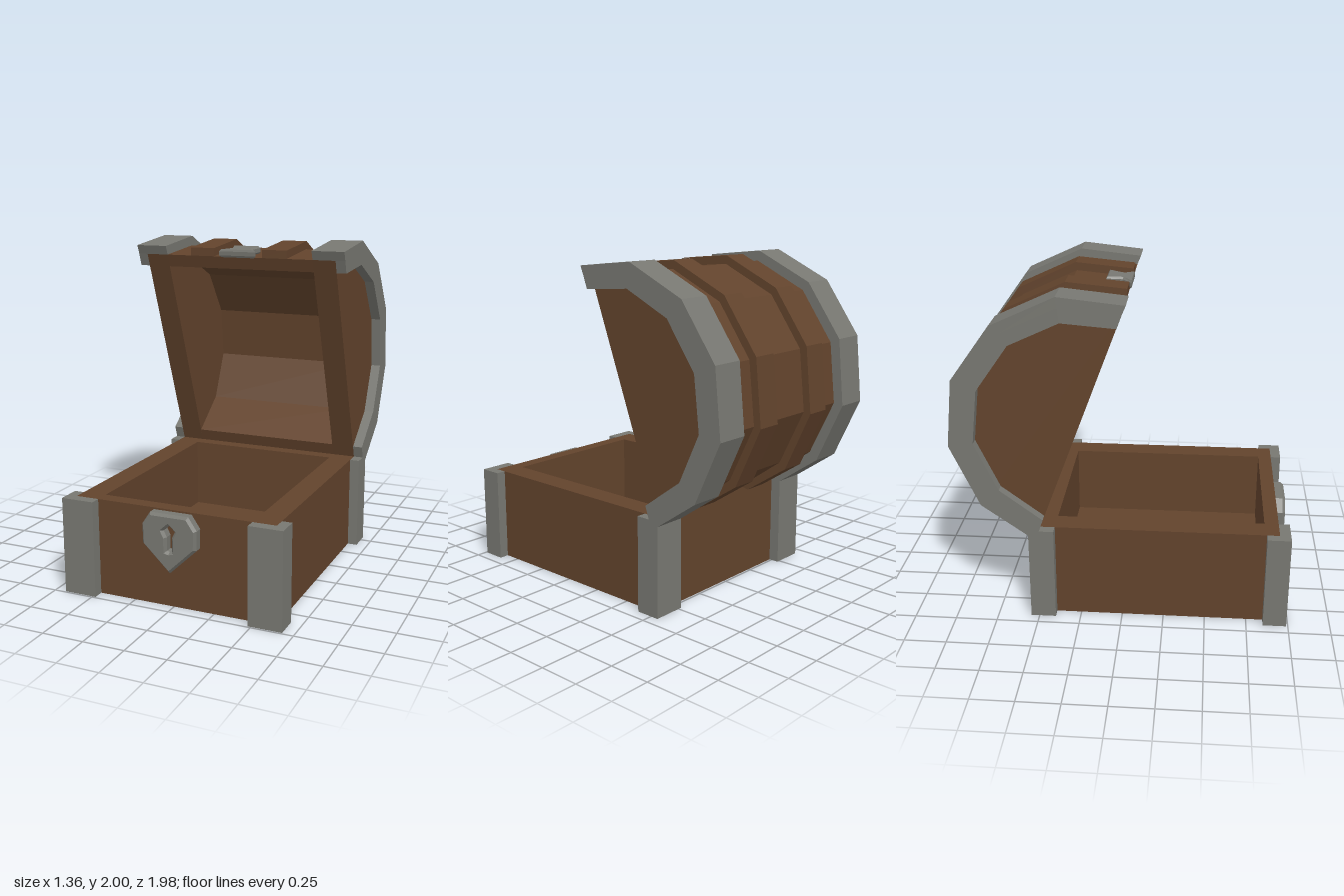
import * as THREE from 'three';

const wood = new THREE.MeshStandardMaterial({ color: 0x62432c, flatShading: true });
wood.name = 'brown wood';
const iron = new THREE.MeshStandardMaterial({ color: 0x777771, flatShading: true });
iron.name = 'grey iron';

// Lid cross-sections as [z, y], from the front lip over the top to the hinge
const inner = [[-0.02, 1.83], [-0.33, 1.855], [-0.62, 1.72], [-0.81, 1.45], [-0.845, 1.13], [-0.71, 0.84], [-0.46, 0.655]];
const shell = [[0.007, 1.905], [-0.34, 1.938], [-0.68, 1.78], [-0.89, 1.485], [-0.93, 1.12], [-0.77, 0.785], [-0.486, 0.58]];
const slat = [[0.008, 1.955], [-0.347, 1.988], [-0.71, 1.82], [-0.935, 1.505], [-0.976, 1.113], [-0.81, 0.75], [-0.535, 0.565]];
const band = [[0.03, 1.96], [-0.35, 2.0], [-0.72, 1.83], [-0.95, 1.51], [-0.99, 1.11], [-0.82, 0.74], [-0.55, 0.55]];

const toShape = (pts) => new THREE.Shape(pts.map(([x, y]) => new THREE.Vector2(x, y)));
const between = (outer, inside) => [...outer, ...[...inside].reverse()];
const mirrorX = (pts) => [...pts, ...[...pts].reverse().filter(([x]) => x !== 0).map(([x, y]) => [-x, y])];

function add(parent, name, geometry, material) {
  const mesh = new THREE.Mesh(geometry, material);
  mesh.name = name;
  parent.add(mesh);
  return mesh;
}

// Extrudes a [z, y] outline along x from x0 to x1
function alongX(pts, x0, x1) {
  const g = new THREE.ExtrudeGeometry(toShape(pts), { depth: x1 - x0, bevelEnabled: false });
  return g.rotateY(-Math.PI / 2).translate(x1, 0, 0);
}

// Extrudes a shape drawn in [x, -z] upwards from y0 to y1
function upward(shape, y0, y1) {
  const g = new THREE.ExtrudeGeometry(shape, { depth: y1 - y0, bevelEnabled: false });
  return g.rotateX(-Math.PI / 2).translate(0, y0, 0);
}

// Counter-clockwise rectangle, so that holes turn their walls inwards
const rect = (x, back, front) => [[-x, -front], [x, -front], [x, -back], [-x, -back]];

function createBase() {
  const base = new THREE.Group();
  base.name = 'base';
  // Walls around an open box, with a raised floor
  const walls = toShape(rect(0.622, -0.486, 0.925));
  walls.holes.push(toShape(rect(0.48, -0.4, 0.84)));
  add(base, 'walls', upward(walls, 0, 0.58), wood);
  add(base, 'floor', upward(toShape(rect(0.48, -0.4, 0.84)), 0, 0.14), wood);

  // L-shaped iron corners wrapping the walls
  for (const s of [-1, 1]) {
    for (const [outer, wall, end] of [[0.99, 0.925, 0.85], [-0.55, -0.486, -0.4]]) {
      const corner = [[0.48, outer], [0.682, outer], [0.682, end], [0.622, end], [0.622, wall], [0.48, wall]];
      add(base, 'cornerPost', upward(toShape(corner.map(([x, z]) => [s * x, -z])), 0, 0.58), iron);
    }
  }

  // Shield-shaped lock with a keyhole
  const plate = toShape(mirrorX([[0, 0.24], [0.152, 0.385], [0.155, 0.49], [0.11, 0.556]]));
  plate.holes.push(toShape(mirrorX([[0, 0.335], [0.03, 0.342], [0.03, 0.43], [0.052, 0.475], [0, 0.522]])));
  const lock = new THREE.ExtrudeGeometry(plate, {
    depth: 0.045, bevelThickness: 0.018, bevelSize: 0.014, bevelSegments: 1,
  });
  add(base, 'lock', lock.translate(0, 0, 0.925), iron);
  return base;
}

function createLid() {
  const lid = new THREE.Group();
  lid.name = 'lid';
  add(lid, 'lidShell', alongX(between(shell, inner), -0.48, 0.48), wood);
  for (const s of [-1, 1]) {
    const span = (pts, a, b) => alongX(pts, Math.min(s * a, s * b), Math.max(s * a, s * b));
    add(lid, 'lidEnd', span(shell, 0.48, 0.622), wood);
    add(lid, 'lidSlat', span(between(slat, shell), 0.16, 0.317), wood);
    // Iron edge: a rim over the shell and a flange on its side
    add(lid, 'lidBand', span(between(band, shell), 0.48, 0.682), iron);
    add(lid, 'lidBandFlange', span(between(shell, inner), 0.622, 0.682), iron);
  }

  // Waisted clasp lying on the front of the lid
  const outline = mirrorX([[0.108, -0.012], [0.055, 0.04], [0.055, 0.06], [0.08, 0.13]]);
  const clasp = new THREE.ExtrudeGeometry(toShape(outline), {
    depth: 0.025, bevelThickness: 0.012, bevelSize: 0.01, bevelSegments: 1,
  });
  const mesh = add(lid, 'clasp', clasp.rotateX(-Math.PI / 2), iron);
  mesh.position.set(0, 1.915, 0);
  mesh.rotation.x = 0.1;
  return lid;
}

export function createModel() {
  const chest = new THREE.Group();
  chest.name = 'chest';
  chest.add(createBase(), createLid());
  return chest;
}
